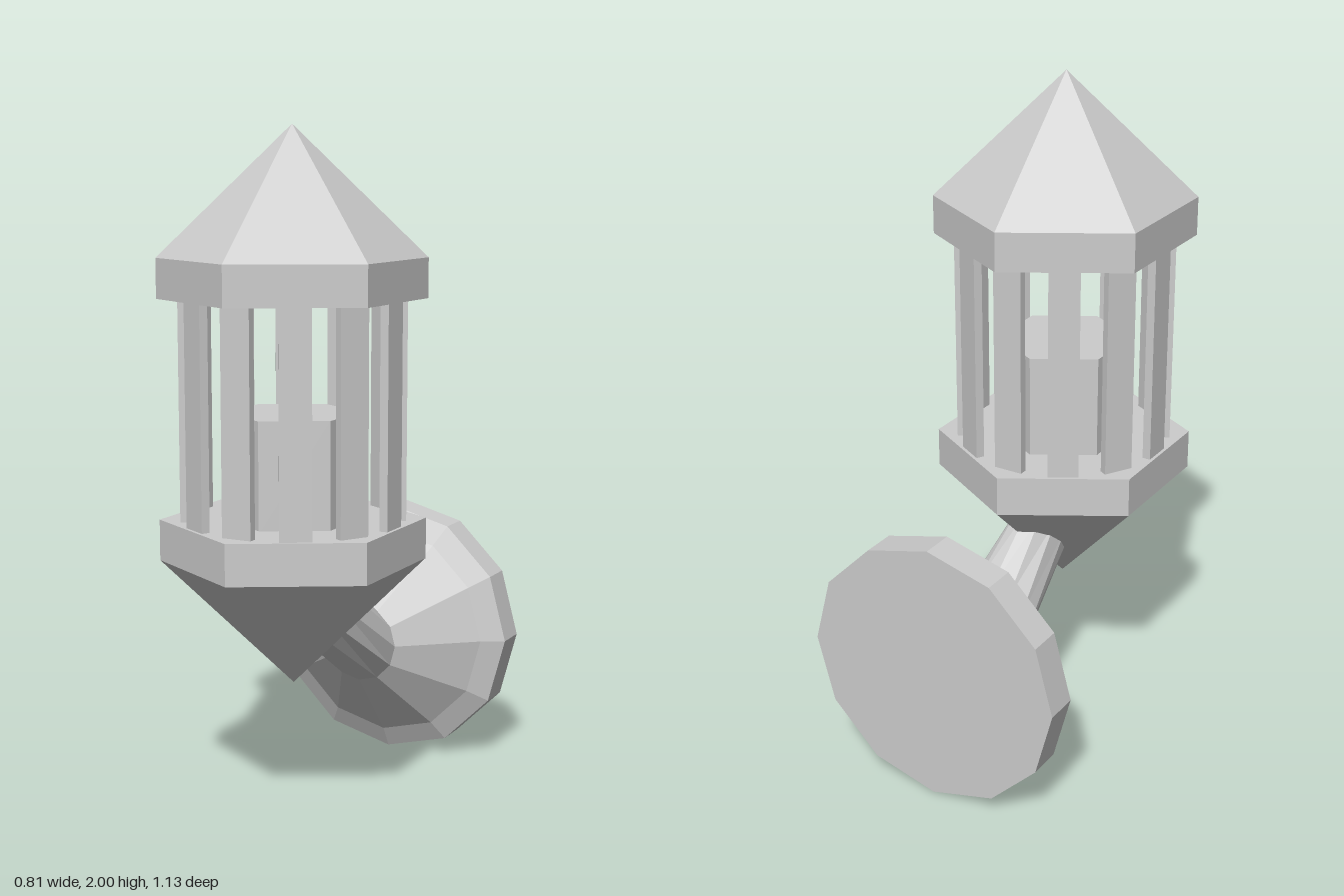
import * as THREE from 'three';

export function createModel() {
  const model = new THREE.Group();
  model.name = 'wallLantern';
  const grey = new THREE.MeshStandardMaterial({ color: 0xcccccc });

  // Faceted mesh: split the faces so every one has its own flat normal
  const add = (name, geometry, parent = model) => {
    const flat = geometry.index ? geometry.toNonIndexed() : geometry;
    flat.computeVertexNormals();
    const mesh = new THREE.Mesh(flat, grey);
    mesh.name = name;
    parent.add(mesh);
    return mesh;
  };

  // Lantern body, six-sided with corners to front and back
  const lantern = new THREE.Group();
  lantern.name = 'lantern';
  lantern.position.z = 0.18;
  model.add(lantern);
  const R = 0.385;
  const hexPart = (name, rTop, rBottom, y0, y1) => {
    const g = new THREE.CylinderGeometry(rTop, rBottom, y1 - y0, 6);
    add(name, g.translate(0, (y0 + y1) / 2, 0), lantern);
  };
  hexPart('roof', 0, R, 1.63, 2);
  hexPart('roofRim', R, R, 1.515, 1.63);
  hexPart('baseRim', R, R, 0.76, 0.88);
  hexPart('basePoint', R, 0, 0.39, 0.76);
  hexPart('candle', 0.2, 0.2, 0.87, 1.19);

  // Ring of twelve upright bars
  for (let i = 0; i < 12; i++) {
    const bar = new THREE.BoxGeometry(0.09, 0.655, 0.025);
    bar.translate(0, 1.197, 0.311).rotateY((i * Math.PI) / 6);
    add('bar' + (i + 1), bar, lantern);
  }

  // Wall mount: twelve-sided plate narrowing towards the arm
  const profile = [[0, -0.568], [0.405, -0.568], [0.405, -0.467], [0.337, -0.43], [0.124, -0.25], [0, -0.25]]
    .map(([r, z]) => new THREE.Vector2(r, z));
  const mount = new THREE.LatheGeometry(profile, 12);
  add('wallMount', mount.rotateX(Math.PI / 2).translate(0, 0.405, 0));

  // Arm: a tube whose ring tilts as it rises into the lantern base
  const arm = new THREE.CylinderGeometry(1, 1, 1, 12, 1);
  const p = arm.attributes.position;
  const lerp = THREE.MathUtils.lerp;
  for (let i = 0; i < p.count; i++) {
    const t = p.getY(i) + 0.5, side = p.getX(i), up = -p.getZ(i);
    p.setXYZ(
      i,
      side * lerp(0.124, 0.08, t),
      lerp(0.405, 0.615, t) + up * lerp(0.124, 0.085, t),
      lerp(-0.25, 0.06, t) - up * lerp(0, 0.09, t)
    );
  }
  add('arm', arm);

  return model;
}
